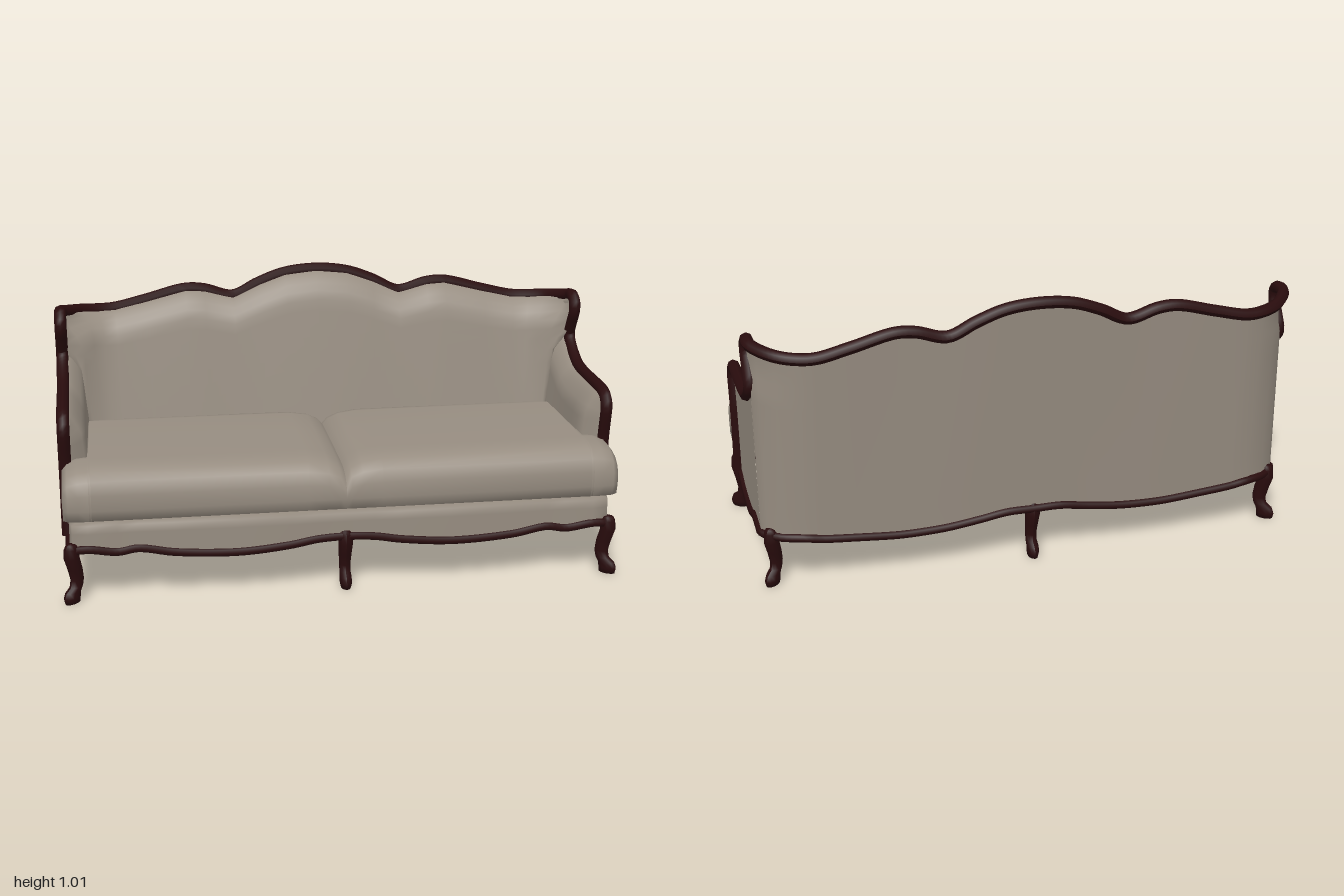
import * as THREE from 'three';

const fabric = new THREE.MeshStandardMaterial({ color: 0x978d81, side: THREE.DoubleSide });
fabric.name = 'beige fabric';
const wood = new THREE.MeshStandardMaterial({ color: 0x290c0d });
wood.name = 'dark wood';

// Half outlines for the +x side, running from the front centre to the back centre.
const baseFront = [
  [0, 0.195, 0.385], [0.1, 0.19, 0.385], [0.2, 0.175, 0.39], [0.38, 0.16, 0.39], [0.6, 0.17, 0.385],
  [0.73, 0.19, 0.38], [0.8, 0.18, 0.38], [0.9, 0.195, 0.385], [0.955, 0.19, 0.375], [0.965, 0.185, 0.33],
];
const baseArm = [
  [0.965, 0.2, 0.245], [0.965, 0.195, 0.21], [0.965, 0.18, 0.16], [0.965, 0.17, 0.1],
  [0.965, 0.17, -0.05], [0.965, 0.195, -0.12], [0.965, 0.19, -0.235],
];
const topArm = [
  [0.97, 0.62, 0.25], [0.97, 0.64, 0.21], [0.97, 0.641, 0.16], [0.97, 0.642, 0.1],
  [0.97, 0.645, -0.05], [0.97, 0.658, -0.12], [0.97, 0.735, -0.235],
];
const baseBack = [
  [0.965, 0.19, -0.235], [0.965, 0.19, -0.25], [0.945, 0.19, -0.275], [0.9, 0.19, -0.31], [0.83, 0.19, -0.335],
  [0.76, 0.18, -0.34], [0.64, 0.17, -0.342], [0.5, 0.16, -0.344], [0.42, 0.16, -0.345],
  [0.32, 0.165, -0.346], [0.2, 0.18, -0.346], [0.1, 0.195, -0.346], [0, 0.195, -0.346],
];
const topBack = [
  [0.97, 0.895, -0.235], [0.97, 0.893, -0.25], [0.95, 0.885, -0.285], [0.9, 0.875, -0.34], [0.84, 0.868, -0.37],
  [0.77, 0.868, -0.385], [0.65, 0.895, -0.388], [0.5, 0.932, -0.39], [0.43, 0.928, -0.39],
  [0.32, 0.9, -0.39], [0.22, 0.945, -0.395], [0.12, 0.98, -0.398], [0, 0.992, -0.4],
];
// Front edge of the arm, and the wing where the arm sweeps up to the back.
const post = [[0.97, 0.2, 0.25], [0.97, 0.32, 0.238], [0.97, 0.45, 0.24], [0.97, 0.55, 0.258], [0.97, 0.6, 0.262], [0.97, 0.632, 0.235]];
const wing = [[0.97, 0.79, -0.212], [0.97, 0.845, -0.18], [0.97, 0.882, -0.186], [0.969, 0.897, -0.215]];

const vec = (p) => new THREE.Vector3(...p);
const flip = ([x, y, z]) => [-x, y, z];
const mirrored = (half) => [...half, ...half.slice(0, -1).reverse().map(flip)];

// Skin over a grid of points given as columns.
function loft(cols) {
  const n = cols[0].length, index = [];
  for (let i = 0; i < cols.length - 1; i++) {
    for (let j = 0; j < n - 1; j++) {
      const a = i * n + j, b = a + n;
      index.push(a, a + 1, b, b, a + 1, b + 1);
    }
  }
  const g = new THREE.BufferGeometry();
  g.setAttribute('position', new THREE.Float32BufferAttribute(cols.flat().flatMap((p) => p.toArray()), 3));
  g.setIndex(index);
  g.computeVertexNormals();
  return g;
}

// Forward bulge of the wing edge by height.
const bulge = (y) => 0.055 * Math.sin(Math.PI * THREE.MathUtils.clamp((y - 0.74) / 0.2, 0, 1));

// Upholstered wall between base and top outlines; padded walls swell inwards.
function wall(base, top, { bend = [], padTop = [], padWeight = [], padded = false }) {
  const rows = 14;
  return loft(base.map((b, i) => {
    const prev = top[Math.max(i - 1, 0)], next = top[Math.min(i + 1, top.length - 1)];
    const inward = new THREE.Vector3(next[2] - prev[2], 0, prev[0] - next[0]).normalize();
    const col = [];
    for (let j = 0; j <= rows; j++) {
      const s = 1 - (1 - j / rows) ** 1.8;
      const t = padded ? 0.18 + 0.82 * s : s;
      const p = vec(b).lerp(vec(top[i]), t);
      p.z += (bend[i] ?? 0) * bulge(p.y);
      if (padded) {
        const d = Math.max(0, (padTop[i] ?? top[i][1]) - p.y);
        const swell = 0.073 * Math.sqrt(Math.min(1, d / 0.08)) + 0.1 * d;
        p.addScaledVector(inward, swell * (padWeight[i] ?? 1));
      }
      col.push(p);
    }
    return col;
  }));
}

// Seat cushion: a [z, y] section run along x, cut back to a front roll beside the arm.
function cushionGeometry(side) {
  const section = [
    [-0.27, 0.35], [-0.27, 0.44], [-0.25, 0.468], [-0.2, 0.478], [0, 0.481], [0.25, 0.481], [0.31, 0.479],
    [0.355, 0.468], [0.388, 0.44], [0.403, 0.395], [0.402, 0.34], [0.392, 0.3], [0.36, 0.29], [0.25, 0.29],
    [0.245, 0.35], [-0.27, 0.35],
  ];
  // [x, drop of the top, back limit, size]
  const stations = [
    [0, 0.05, -0.27, 1], [0.02, 0.028, -0.27, 1], [0.06, 0.01, -0.27, 1], [0.13, 0, -0.27, 1],
    [0.885, 0, -0.27, 1], [0.885, 0, -0.27, 1], [0.893, 0, 0.23, 1], [0.893, 0, 0.23, 1],
    [0.93, 0.004, 0.23, 1], [0.965, 0.012, 0.23, 0.98], [0.982, 0.03, 0.23, 0.92], [0.986, 0.03, 0.23, 0],
  ];
  return loft(stations.map(([x, drop, back, size]) => section.map(([z, y]) => {
    const lowered = y - drop * THREE.MathUtils.clamp((y - 0.35) / 0.1, 0, 1);
    return new THREE.Vector3(side * x, 0.37 + (lowered - 0.37) * size, 0.33 + (Math.max(z, back) - 0.33) * size);
  })));
}

// Cabriole leg: rings of [height, outward shift, half width, half depth].
function legGeometry(dx, dz) {
  const rings = [
    [0, 0.014, 0, 0], [0, 0.014, 0.018, 0.032], [0.02, 0.016, 0.022, 0.035], [0.04, 0.01, 0.021, 0.033],
    [0.055, -0.006, 0.02, 0.026], [0.08, -0.012, 0.02, 0.026], [0.12, -0.004, 0.023, 0.028],
    [0.165, 0.01, 0.026, 0.029], [0.2, 0.01, 0.025, 0.026], [0.214, 0.01, 0.018, 0.019], [0.218, 0.01, 0, 0],
  ];
  return loft(rings.map(([y, out, w, d]) => Array.from({ length: 11 }, (_, k) => {
    const a = k / 10 * Math.PI * 2;
    const f = out + d * Math.cos(a), s = w * Math.sin(a);
    return new THREE.Vector3(dx * f + dz * s, y, dz * f - dx * s);
  })));
}

export function createModel() {
  const sofa = new THREE.Group();
  sofa.name = 'sofa';
  const add = (name, geometry, material, x = 0, z = 0) => {
    const mesh = new THREE.Mesh(geometry, material);
    mesh.name = name;
    mesh.position.set(x, 0, z);
    sofa.add(mesh);
  };

  // Back with wings
  const bb = mirrored(baseBack), bt = mirrored(topBack);
  const both = (a) => [...a, ...Array(bb.length - 2 * a.length).fill(undefined), ...[...a].reverse()];
  const backOptions = {
    bend: both([1, 0.7, 0.35, 0.1]), padTop: both([0.735, 0.77, 0.83]), padWeight: both([0.88, 0.88, 0.9, 0.95]),
  };
  add('backOuter', wall(bb, bt, backOptions), fabric);
  add('backPadding', wall(bb, bt, { ...backOptions, padded: true }), fabric);

  // Arms
  for (const side of [1, -1]) {
    const place = (pts) => (side > 0 ? pts : pts.map(flip).reverse());
    const name = side > 0 ? 'left' : 'right';
    const weights = [0, 0.75, 0.88, 0.88, 0.88, 0.88, 0.88];
    const padWeight = side > 0 ? weights : weights.reverse();
    add(name + 'ArmOuter', wall(place(baseArm), place(topArm), {}), fabric);
    add(name + 'ArmPadding', wall(place(baseArm), place(topArm), { padded: true, padWeight }), fabric);
  }

  // Front apron, turned in under the cushions
  const apronHalf = [baseArm[0], ...[...baseFront].reverse()];
  add('frontApron', loft(mirrored(apronHalf).map(([x, y, z]) => [
    vec([x, y, z]), vec([x, 0.25, z]), vec([x, 0.28, z]), vec([x * 0.985, 0.288, z - 0.015]), vec([x * 0.9, 0.288, z * 0.65]),
  ])), fabric);

  // Two seat cushions meeting at the centre
  add('leftCushion', cushionGeometry(1), fabric);
  add('rightCushion', cushionGeometry(-1), fabric);

  // Carved top rail along posts, arms, wings and crest; the posts are slimmer low down
  const railHalf = [...post, ...topArm.slice(2), ...wing, ...topBack.slice(1)];
  const rail = new THREE.TubeGeometry(new THREE.CatmullRomCurve3(mirrored(railHalf).map(vec)), 260, 0.022, 8);
  const pos = rail.attributes.position;
  for (let i = 0; i < pos.count; i++) {
    const slim = 0.4 * THREE.MathUtils.clamp((0.56 - pos.getY(i)) / 0.15, 0, 1);
    pos.setZ(i, THREE.MathUtils.lerp(pos.getZ(i), 0.242, slim));
  }
  rail.computeVertexNormals();
  add('topRail', rail, wood);

  // Wavy rail round the base
  const half = [...baseFront, ...baseArm, ...baseBack.slice(1)];
  const ring = [...half, ...half.slice(1, -1).reverse().map(flip)];
  const baseCurve = new THREE.CatmullRomCurve3(ring.map(vec), true);
  add('baseRail', new THREE.TubeGeometry(baseCurve, 280, 0.015, 7, true), wood);

  // Six legs
  const d = Math.SQRT1_2;
  for (const side of [1, -1]) {
    add('frontLeg', legGeometry(side * d, d), wood, side * 0.953, 0.37);
    add('backLeg', legGeometry(side * d, -d), wood, side * 0.928, -0.273);
  }
  add('frontCentreLeg', legGeometry(0, 1), wood, 0, 0.366);
  add('backCentreLeg', legGeometry(0, -1), wood, 0, -0.32);
  return sofa;
}
